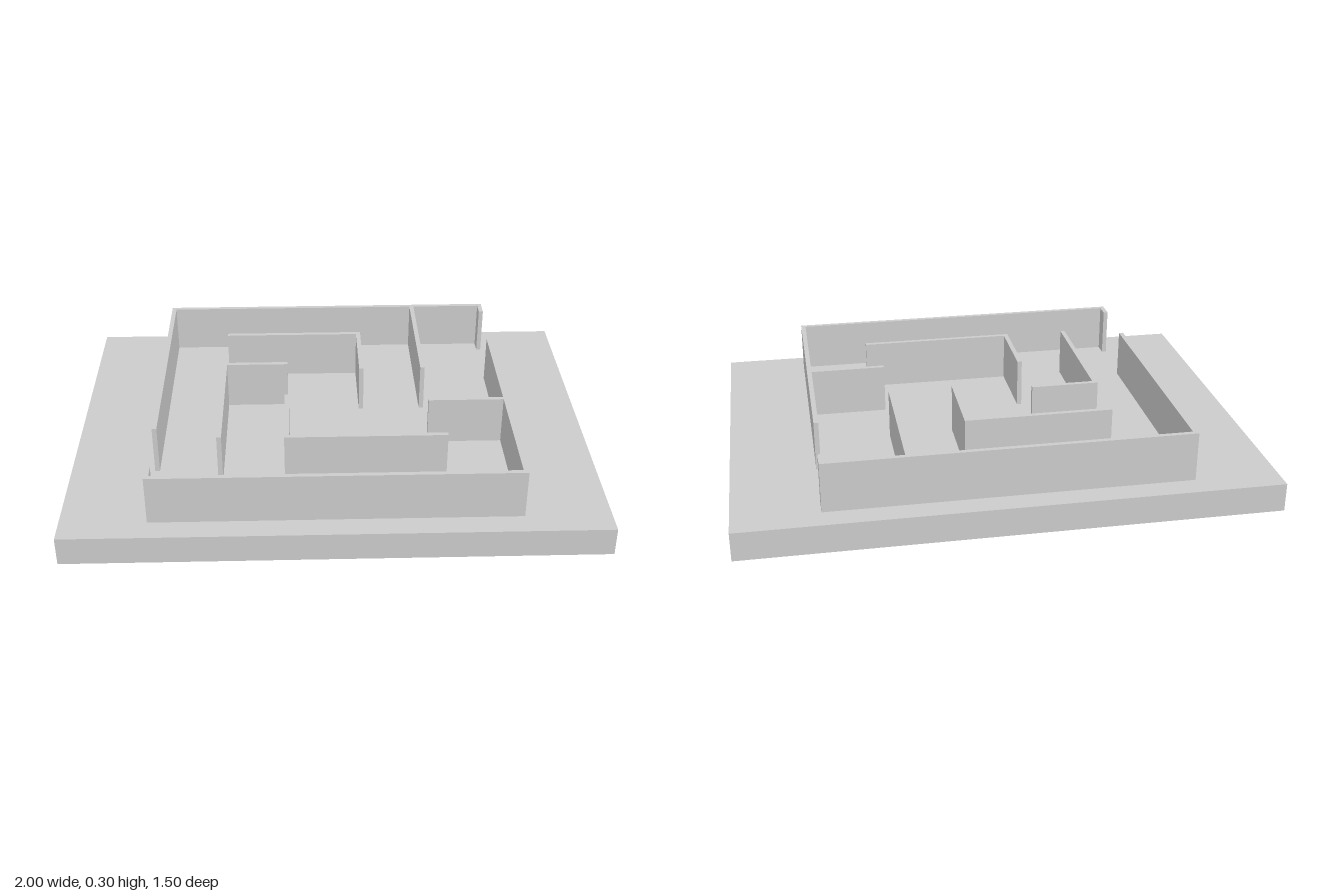
import * as THREE from 'three';

const BASE_H = 0.11, WALL_TOP = 0.3, HALF = 0.009; // HALF = half wall thickness

// Outline of a wall that follows an axis-aligned path of [x, z] points, with mitred corners
function wallShape(path) {
  const pts = path.map(([x, z]) => new THREE.Vector2(x, -z));
  const normals = pts.slice(1).map((p, i) => {
    const d = p.clone().sub(pts[i]).normalize();
    return new THREE.Vector2(-d.y, d.x);
  });
  const side = (s) => pts.map((p, i) => {
    const a = normals[i - 1], b = normals[i];
    const offset = a && b ? a.clone().add(b) : a || b;
    return p.clone().addScaledVector(offset, s * HALF);
  });
  return new THREE.Shape([...side(1), ...side(-1).reverse()]);
}

export function createModel() {
  const model = new THREE.Group();
  model.name = 'mazeBoard';
  const material = new THREE.MeshStandardMaterial({ color: 0xcccccc });

  // Base slab
  const base = new THREE.Mesh(new THREE.BoxGeometry(2, BASE_H, 1.5), material);
  base.name = 'base';
  base.position.y = BASE_H / 2;
  model.add(base);

  // Walls as centre lines [x, z]; the outer pair leaves two openings
  const walls = {
    outerWallBack: [[-0.673, 0.333], [-0.673, -0.651], [0.673, -0.651], [0.673, -0.585]],
    outerWallFront: [[-0.673, 0.585], [-0.673, 0.651], [0.673, 0.651], [0.673, -0.333]],
    innerWallBack: [[-0.428, -0.402], [0.124, -0.402], [0.124, -0.097]],
    innerWallRight: [[-0.175, -0.151], [-0.429, -0.151], [-0.429, 0.398]],
    innerWallFront: [[-0.178, 0.098], [-0.178, 0.397], [0.423, 0.397]],
    backSpur: [[0.372, -0.642], [0.372, -0.1]],
    leftSpur: [[0.373, 0.148], [0.664, 0.148]],
  };
  for (const [name, path] of Object.entries(walls)) {
    const geometry = new THREE.ExtrudeGeometry(wallShape(path), { depth: WALL_TOP - BASE_H, bevelEnabled: false });
    geometry.rotateX(-Math.PI / 2);
    const wall = new THREE.Mesh(geometry, material);
    wall.name = name;
    wall.position.y = BASE_H;
    model.add(wall);
  }
  return model;
}
